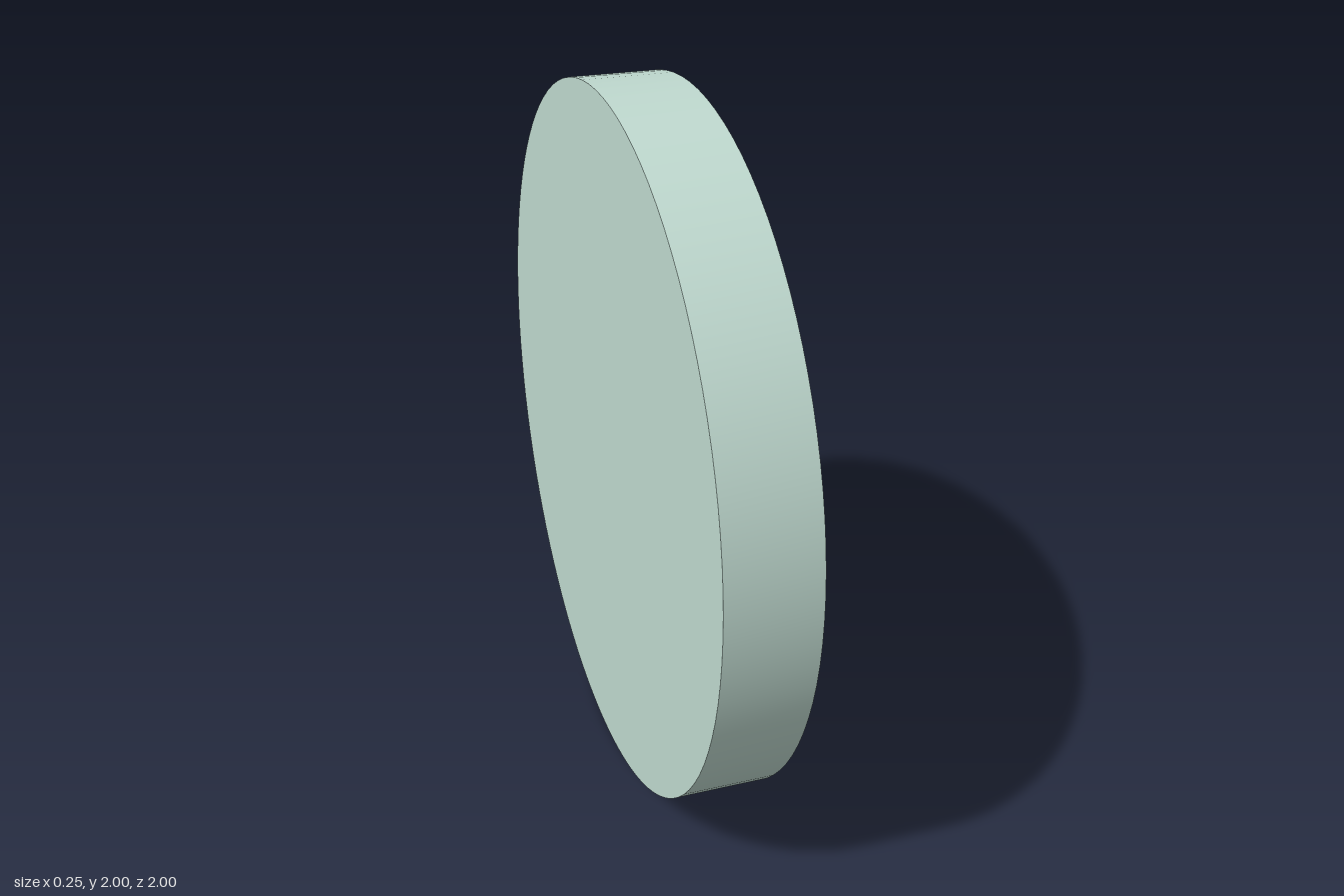
import * as THREE from 'three';
import { toCreasedNormals } from 'three/addons/utils/BufferGeometryUtils.js';

const HALF = 0.125;   // half the disc thickness
const DEPTH = 0.21;   // depth of the blind holes
const SEGMENTS = 96;

// Blind holes in the +x face: z, y, radius
const HOLES = [
  [0.43, 0.77, 0.11],
  [0.68, 0.655, 0.11],
  [0.495, 0.5, 0.11],
  [-0.36, 0.975, 0.147],
  [-0.705, 1.015, 0.11],
];

// Turns a profile of [radius, x] pairs around the x axis
function turned(profile) {
  const points = profile.map(([r, x]) => new THREE.Vector2(r, x));
  const geometry = new THREE.LatheGeometry(points, SEGMENTS).rotateZ(-Math.PI / 2);
  return toCreasedNormals(geometry, Math.PI / 6);
}

export function createModel() {
  const group = new THREE.Group();
  group.name = 'drilledDisc';
  const material = new THREE.MeshStandardMaterial({ color: 0xbfd9cf });

  const add = (name, geometry, y = 0, z = 0) => {
    const mesh = new THREE.Mesh(geometry, material);
    mesh.name = name;
    mesh.position.set(0, y, z);
    group.add(mesh);
  };

  // Solid back and outer rim
  add('discBody', turned([[0, -HALF], [1, -HALF], [1, HALF]]), 1);

  // Drilled face; the shape's x runs along -z
  const face = new THREE.Shape().absarc(0, 1, 1, 0, Math.PI * 2);
  for (const [z, y, r] of HOLES) {
    face.holes.push(new THREE.Path().absarc(-z, y, r, 0, Math.PI * 2, true));
  }
  const faceGeometry = new THREE.ShapeGeometry(face, SEGMENTS / 2);
  add('drilledFace', faceGeometry.rotateY(Math.PI / 2).translate(HALF, 0, 0));

  // Wall and floor of each blind hole
  HOLES.forEach(([z, y, r], i) => {
    const pocket = turned([[r, HALF], [r, HALF - DEPTH], [0, HALF - DEPTH]]);
    add(`blindHole${i + 1}`, pocket, y, z);
  });

  return group;
}
